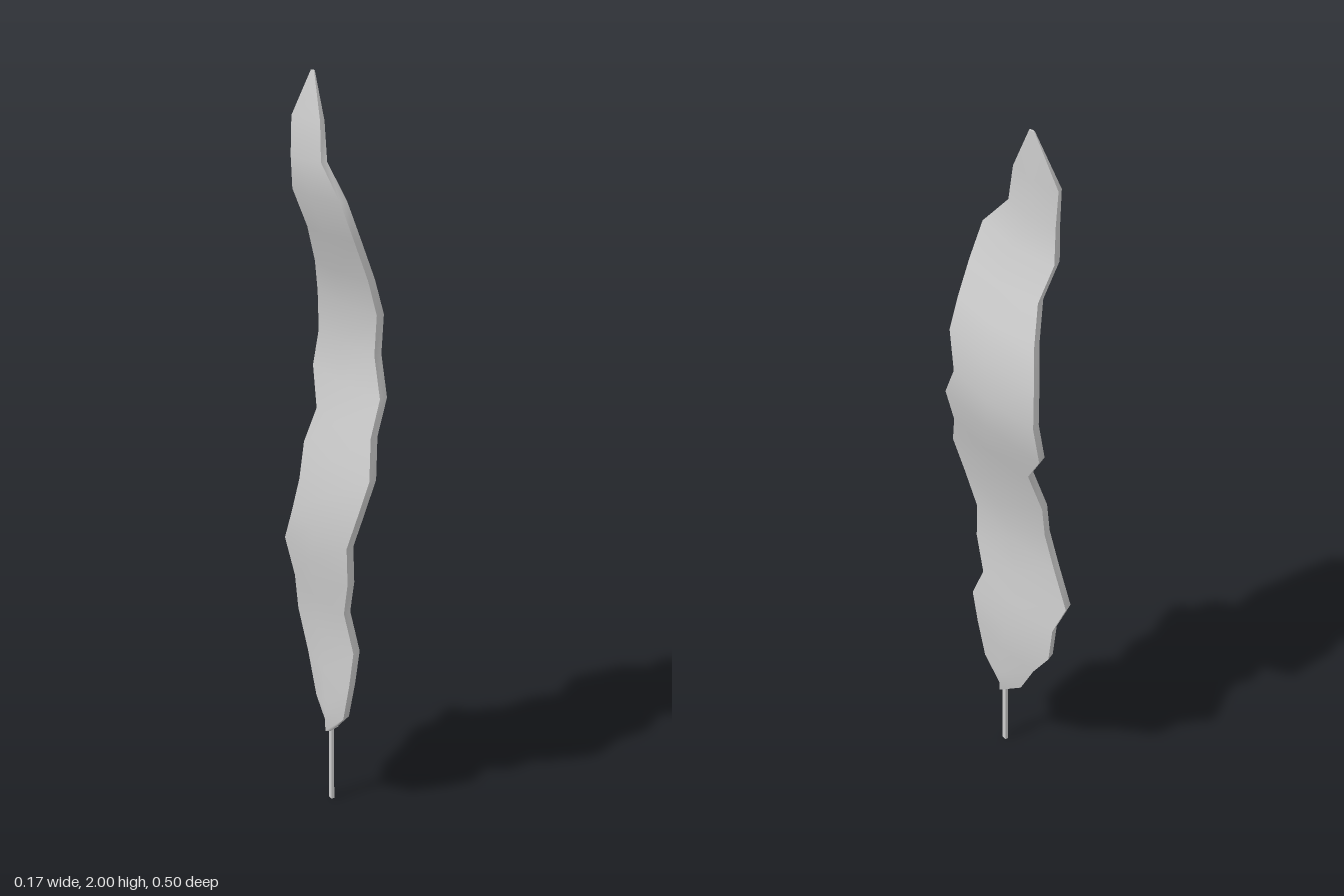
import * as THREE from 'three';

// Cross-sections up the blade: [y, centre x, front edge z, back edge z, half thickness]
const SECTIONS = [
  [0.21, -0.032, 0.043, 0.03, 0.023],
  [0.28, -0.03, 0.125, -0.055, 0.025],
  [0.39, -0.026, 0.155, -0.12, 0.026],
  [0.49, -0.022, 0.173, -0.195, 0.027],
  [0.59, -0.03, 0.13, -0.2, 0.027],
  [0.69, -0.04, 0.175, -0.245, 0.028],
  [0.79, -0.043, 0.175, -0.185, 0.028],
  [0.89, -0.033, 0.22, -0.155, 0.028],
  [0.99, -0.013, 0.247, -0.168, 0.028],
  [1.09, 0.013, 0.2, -0.14, 0.028],
  [1.19, 0.04, 0.198, -0.223, 0.029],
  [1.29, 0.054, 0.135, -0.215, 0.029],
  [1.40, 0.048, 0.16, -0.208, 0.029],
  [1.49, 0.025, 0.155, -0.175, 0.028],
  [1.59, -0.013, 0.155, -0.138, 0.028],
  [1.69, -0.048, 0.145, -0.155, 0.028],
  [1.78, -0.06, 0.053, -0.14, 0.025],
  [1.88, -0.053, 0.027, -0.155, 0.018],
  [2.0, -0.04, -0.05, -0.07, 0.003],
];
const EDGE = 0.45;   // rim thickness relative to the midrib
const SKEW = 0.006;  // slant of the rim between the two faces

// One face of a section (side +1 or -1), from front edge to back edge
function faceRow([y, x, zFront, zBack, half], side) {
  const skew = -side * SKEW * Math.min(1, half / 0.025);
  return [
    [x + side * half * EDGE, y, zFront + skew],
    [x + side * half, y, (zFront + zBack) / 2 + skew],
    [x + side * half * EDGE, y, zBack + skew],
  ];
}

// Smooth surface through rows of points
function surface(rows, name, material) {
  const n = rows[0].length, index = [];
  for (let r = 0; r < rows.length - 1; r++) {
    for (let c = 0; c < n - 1; c++) {
      const a = r * n + c, b = a + 1, d = a + n, e = d + 1;
      index.push(a, b, e, a, e, d);
    }
  }
  const geometry = new THREE.BufferGeometry();
  geometry.setAttribute('position', new THREE.Float32BufferAttribute(rows.flat(2), 3));
  geometry.setIndex(index);
  geometry.computeVertexNormals();
  const mesh = new THREE.Mesh(geometry, material);
  mesh.name = name;
  return mesh;
}

export function createModel() {
  const group = new THREE.Group();
  group.name = 'leaf';
  const material = new THREE.MeshStandardMaterial({ color: 0xcccccc, side: THREE.DoubleSide });

  const left = SECTIONS.map((s) => faceRow(s, 1));
  const right = SECTIONS.map((s) => faceRow(s, -1));
  const last = SECTIONS.length - 1;

  // Wavy blade: two faces, two rims and the end caps
  const blade = new THREE.Group();
  blade.name = 'blade';
  blade.add(
    surface(left, 'leftFace', material),
    surface(right.map((row) => [...row].reverse()), 'rightFace', material),
    surface(left.map((row, i) => [row[2], right[i][2]]), 'backRim', material),
    surface(left.map((row, i) => [right[i][0], row[0]]), 'frontRim', material),
    surface([right[0], left[0]], 'bottomCap', material),
    surface([left[last], right[last]], 'tipCap', material),
  );
  group.add(blade);

  // Thin stem
  const stem = new THREE.Mesh(new THREE.BoxGeometry(0.009, 0.24, 0.016), material);
  stem.name = 'stem';
  stem.position.set(-0.034, 0.12, 0.038);
  group.add(stem);

  return group;
}
